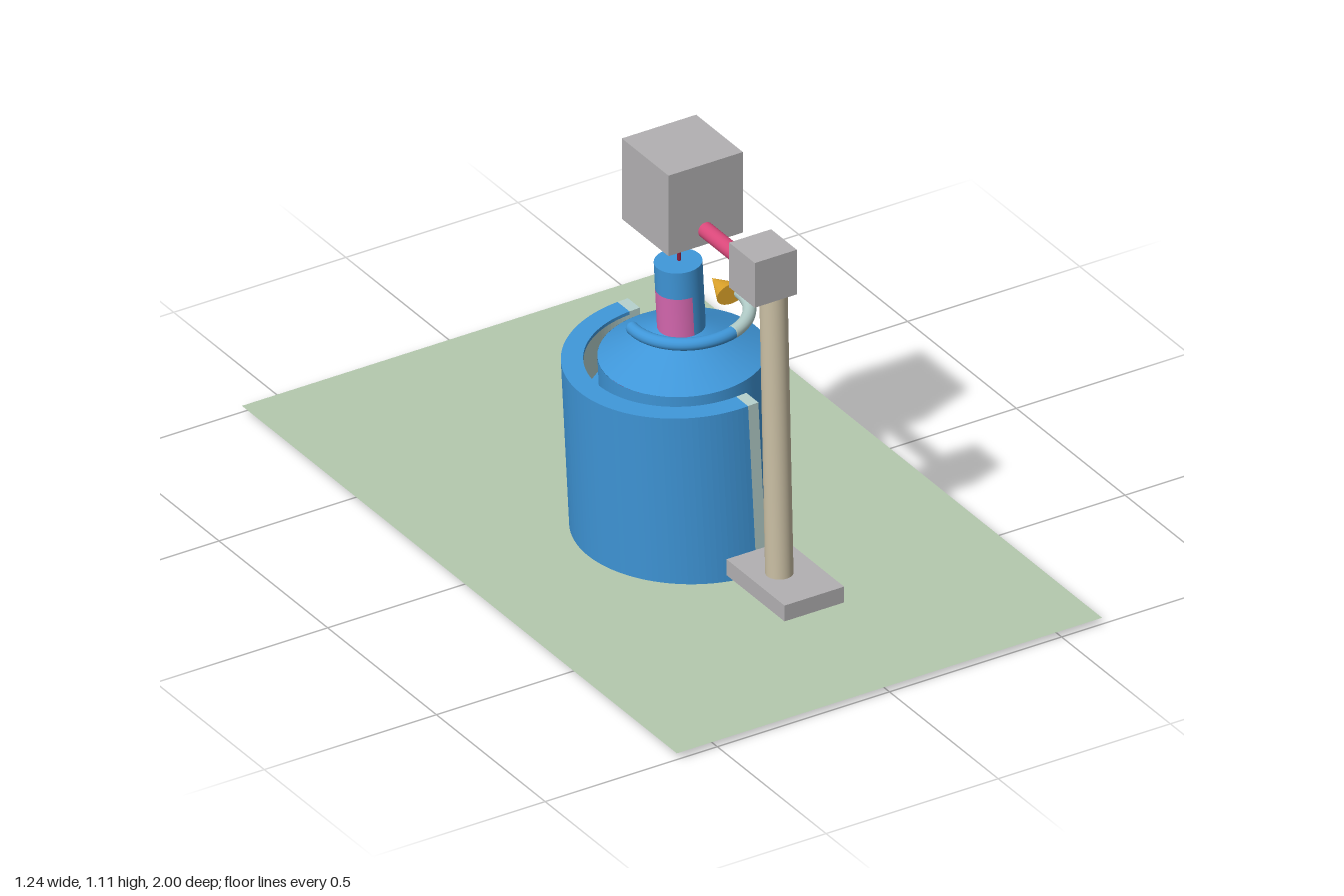
import * as THREE from 'three';

const paint = (color) => new THREE.MeshStandardMaterial({ color, side: THREE.DoubleSide });
const BLUE = paint(0x3f96d8), PINK = paint(0xd668b0), PALE = paint(0xb4cfcb), GREY = paint(0xb2b0b2);
const GREEN = paint(0xb4c9ae), TAN = paint(0xc9bea3), RED = paint(0xd9487a), DARKRED = paint(0x8c2040);
const GOLD = paint(0xe0a52a), BLACK = paint(0x151a15), LIGHT = paint(0x1f5a28);

function add(parent, name, geometry, material, x = 0, y = 0, z = 0) {
  const mesh = new THREE.Mesh(geometry, material);
  mesh.name = name;
  mesh.position.set(x, y, z);
  parent.add(mesh);
  return mesh;
}

// Box given by its limits on each axis
function block(parent, name, material, [x0, x1], [y0, y1], [z0, z1]) {
  return add(parent, name, new THREE.BoxGeometry(x1 - x0, y1 - y0, z1 - z0), material,
    (x0 + x1) / 2, (y0 + y1) / 2, (z0 + z1) / 2);
}

// Open wall between two heights; start and sweep choose a part of the circle
function wall(parent, name, material, r0, r1, y0, y1, start = 0, sweep = Math.PI * 2) {
  return add(parent, name, new THREE.CylinderGeometry(r1, r0, y1 - y0, 48, 1, true, start, sweep),
    material, 0, (y0 + y1) / 2, 0);
}

// Half ring on the -x side
function halfRing(parent, name, material, inner, outer, y0, y1) {
  const shape = new THREE.Shape();
  shape.absarc(0, 0, outer, Math.PI / 2, Math.PI * 1.5, false);
  shape.absarc(0, 0, inner, Math.PI * 1.5, Math.PI / 2, true);
  const geometry = new THREE.ExtrudeGeometry(shape, { depth: y1 - y0, bevelEnabled: false, curveSegments: 32 });
  geometry.rotateX(-Math.PI / 2);
  return add(parent, name, geometry, material, 0, y0, 0);
}

// Straight rod between two points
function rod(parent, name, material, a, b, radius) {
  const from = new THREE.Vector3(...a), to = new THREE.Vector3(...b);
  const dir = to.clone().sub(from);
  const mesh = add(parent, name, new THREE.CylinderGeometry(radius, radius, dir.length(), 32), material);
  mesh.position.copy(from).add(to).multiplyScalar(0.5);
  mesh.quaternion.setFromUnitVectors(new THREE.Vector3(0, 1, 0), dir.normalize());
  return mesh;
}

export function createModel() {
  const model = new THREE.Group();
  model.name = 'viscometer';

  // Ground sheet
  const ground = add(model, 'ground', new THREE.PlaneGeometry(1.235, 2), GREEN, 0, 0.018, 0);
  ground.rotation.x = -Math.PI / 2;

  // Leaning vessel with everything that leans with it
  const vessel = new THREE.Group();
  vessel.name = 'vessel';
  vessel.position.set(0.013, 0, 0.07);
  vessel.rotation.z = 0.051;
  model.add(vessel);

  // Rotor: cone tip, pink band, half pink and half blue body, shoulder, neck
  wall(vessel, 'rotorTip', PINK, 0, 0.21, 0.005, 0.03);
  wall(vessel, 'rotorBand', PINK, 0.21, 0.21, 0.03, 0.1);
  wall(vessel, 'bodyFront', BLUE, 0.21, 0.21, 0.1, 0.512, 0, Math.PI);
  wall(vessel, 'bodyInner', PINK, 0.21, 0.21, 0.1, 0.39, Math.PI, Math.PI);
  wall(vessel, 'bodyUpper', BLUE, 0.21, 0.21, 0.39, 0.512, Math.PI, Math.PI);
  wall(vessel, 'shoulder', BLUE, 0.21, 0.06, 0.512, 0.59);
  wall(vessel, 'neckFront', BLUE, 0.06, 0.06, 0.585, 0.7, 0, Math.PI);
  wall(vessel, 'neckInner', PINK, 0.06, 0.06, 0.585, 0.7, Math.PI, Math.PI);
  add(vessel, 'neckTop', new THREE.CylinderGeometry(0.06, 0.06, 0.076, 48), BLUE, 0, 0.738, 0);

  // Half shell around the rotor: pale core, blue coat and cap, pale end strips
  halfRing(vessel, 'shellCore', PALE, 0.245, 0.291, 0.0155, 0.497);
  halfRing(vessel, 'shellCoat', BLUE, 0.291, 0.3, 0.0155, 0.5);
  halfRing(vessel, 'shellCap', BLUE, 0.245, 0.3, 0.497, 0.506);
  halfRing(vessel, 'shellLiner', BLUE, 0.215, 0.244, 0.06, 0.39);
  for (const side of [-1, 1]) {
    add(vessel, 'shellEndStrip', new THREE.BoxGeometry(0.03, 0.491, 0.055), PALE, 0.015, 0.2605, side * 0.2725);
  }

  // Curved arrow showing the turning direction
  const arrow = new THREE.Group();
  arrow.name = 'turnArrow';
  arrow.position.set(0.02, 0.622, 0);
  vessel.add(arrow);
  const split = 1.3;
  const arc = (name, material, tube, start, sweep) => {
    const geometry = new THREE.TorusGeometry(0.152, tube, 16, 32, sweep);
    geometry.rotateZ(start);
    geometry.rotateX(Math.PI / 2);
    add(arrow, name, geometry, material);
    // Rounded ends
    for (const a of [start, start + sweep]) {
      add(arrow, name + 'End', new THREE.SphereGeometry(tube, 16, 12), material,
        0.152 * Math.cos(a), 0, 0.152 * Math.sin(a));
    }
  };
  arc('arrowPaleArc', PALE, 0.017, 0, split);
  arc('arrowBlueArc', BLUE, 0.0165, split, Math.PI - split + 0.1);
  const head = add(arrow, 'arrowHead', new THREE.ConeGeometry(0.043, 0.09, 32), GOLD, 0.128, 0.004, -0.045);
  head.rotation.x = -Math.PI / 2;
  head.scale.z = 0.65;

  // Stand: foot, leaning post, clamp block and arm
  block(model, 'standFoot', GREY, [-0.085, 0.088], [0.055, 0.1], [0.385, 0.652]);
  rod(model, 'standPost', TAN, [-0.01, 0.08, 0.51], [-0.005, 0.92, 0.473], 0.035);
  block(model, 'clampBlock', GREY, [-0.09, 0.032], [0.885, 1.012], [0.405, 0.523]);
  rod(model, 'arm', RED, [-0.028, 0.927, 0.42], [-0.028, 0.927, 0.19], 0.021);

  // Measuring head with a dark display on the back and a thin spindle
  block(model, 'measuringHead', GREY, [-0.135, 0.081], [0.885, 1.114], [-0.017, 0.198]);
  block(model, 'display', BLACK, [-0.085, 0.03], [0.91, 1.09], [-0.022, -0.015]);
  for (let row = 0; row < 6; row++) {
    for (let col = 0; col < 3; col++) {
      add(model, 'displayLight', new THREE.BoxGeometry(0.014, 0.008, 0.003), LIGHT,
        -0.06 + col * 0.032, 0.93 + row * 0.028, -0.023);
    }
  }
  rod(model, 'spindle', DARKRED, [-0.022, 0.77, 0.068], [-0.022, 0.89, 0.068], 0.005);

  return model;
}
